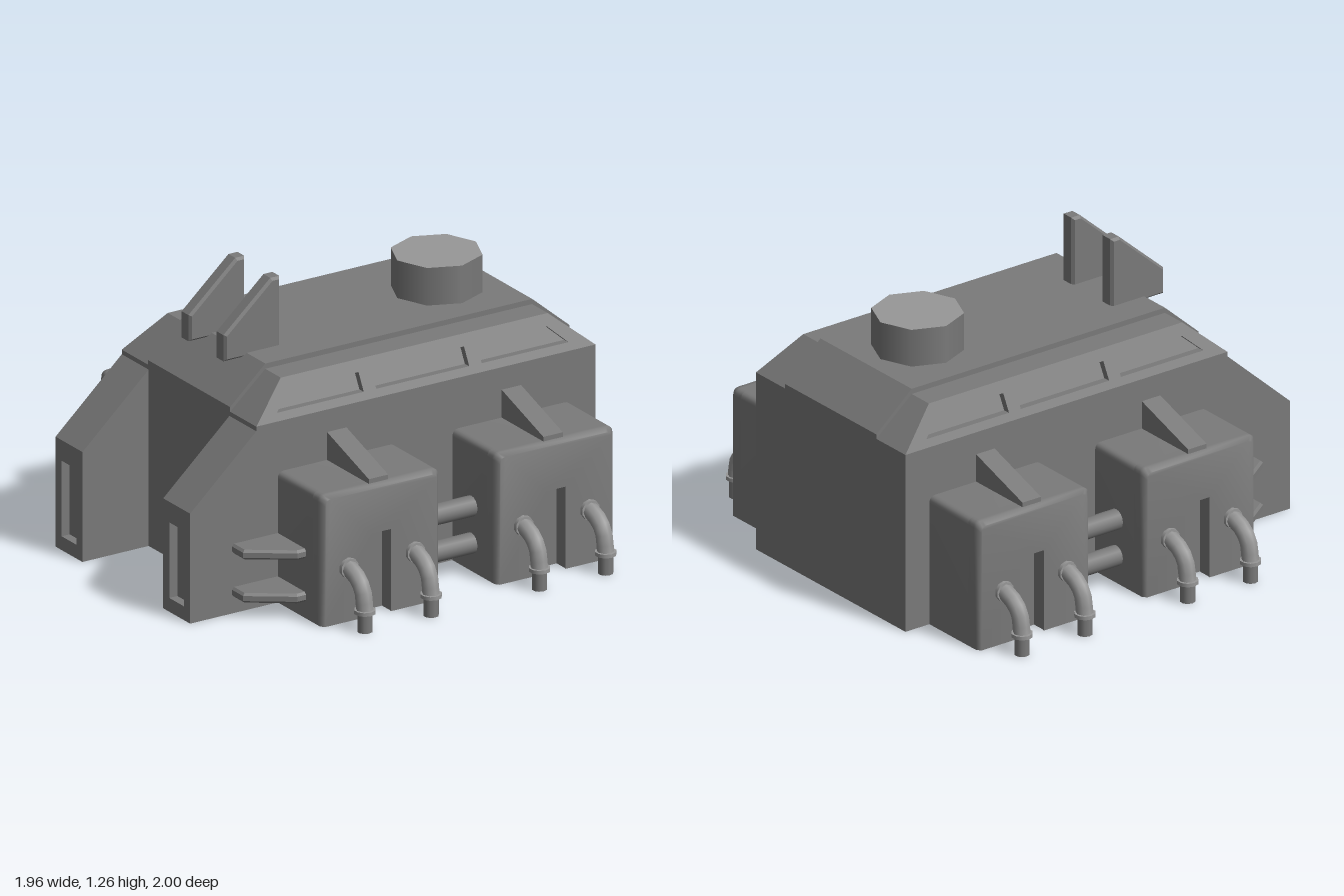
import * as THREE from 'three';
import { toCreasedNormals } from 'three/addons/utils/BufferGeometryUtils.js';

const dark = new THREE.MeshStandardMaterial({ color: 0x7a7a7a, side: THREE.DoubleSide });
const light = new THREE.MeshStandardMaterial({ color: 0x989898, side: THREE.DoubleSide });

function add(parent, name, geo, x = 0, y = 0, z = 0, material = dark) {
  const mesh = new THREE.Mesh(geo, material);
  mesh.name = name;
  mesh.position.set(x, y, z);
  parent.add(mesh);
}

const points = (pts) => pts.map(([x, y]) => new THREE.Vector2(x, y));
const shapeOf = (pts) => new THREE.Shape(points(pts));

function extrude(shape, depth, options = {}) {
  return new THREE.ExtrudeGeometry(shape, { depth, bevelEnabled: false, curveSegments: 4, ...options });
}

// Removes the triangles lying in the plane axis = value, leaving an open shell
function open(geo, axis, value) {
  const src = geo.index ? geo.toNonIndexed() : geo;
  const pos = src.attributes.position;
  const k = 'xyz'.indexOf(axis);
  const kept = [];
  for (let i = 0; i < pos.count; i += 3) {
    const flat = [0, 1, 2].every((j) => Math.abs(pos.getComponent(i + j, k) - value) < 1e-4);
    if (!flat) for (let j = 0; j < 3; j++) kept.push(pos.getX(i + j), pos.getY(i + j), pos.getZ(i + j));
  }
  const out = new THREE.BufferGeometry();
  out.setAttribute('position', new THREE.Float32BufferAttribute(kept, 3));
  out.computeVertexNormals();
  return out;
}

function quad(a, b, c, d) {
  const geo = new THREE.BufferGeometry();
  geo.setAttribute('position', new THREE.Float32BufferAttribute([a, b, c, a, c, d].flat(), 3));
  geo.computeVertexNormals();
  return geo;
}

// Rounded upper corners, square feet, optional slot in the lower edge
function blockShape(w, h, r, slotW, slotH) {
  const s = new THREE.Shape();
  s.moveTo(-w, 0);
  if (slotW) {
    s.lineTo(-slotW, 0); s.lineTo(-slotW, slotH); s.lineTo(slotW, slotH); s.lineTo(slotW, 0);
  }
  s.lineTo(w, 0);
  s.lineTo(w, h - r);
  s.quadraticCurveTo(w, h, w - r, h);
  s.lineTo(-w + r, h);
  s.quadraticCurveTo(-w, h, -w, h - r);
  s.lineTo(-w, 0);
  return s;
}

// Side block with a slot, a sloping fin and two bent pipes
function makeBlock() {
  const g = new THREE.Group();
  g.name = 'sideBlock';
  const W = 0.285, H = 0.57;
  const rear = open(open(extrude(blockShape(W, H, 0.03), 0.27), 'y', 0), 'z', 0.27);
  add(g, 'blockShell', toCreasedNormals(rear, 0.6), 0, 0, 0.49);

  // Front layer with softly rounded rim
  let front = extrude(blockShape(W, H, 0.03, 0.05, 0.37), 0.07, { steps: 4 });
  front = open(open(front, 'y', 0), 'z', 0);
  const p = front.attributes.position;
  for (let i = 0; i < p.count; i++) {
    if (p.getZ(i) > 0.069) p.setXY(i, p.getX(i) * 0.95, p.getY(i) * 0.97);
  }
  add(g, 'blockFace', toCreasedNormals(front, 1.0), 0, 0, 0.76);
  add(g, 'slotBack', new THREE.PlaneGeometry(0.1, 0.37), 0, 0.185, 0.76);

  const fin = extrude(shapeOf([[0.49, 0.55], [0.81, 0.55], [0.81, 0.59], [0.49, 0.695]]), 0.094);
  add(g, 'blockFin', fin.rotateY(-Math.PI / 2), 0.047);

  const bend = new THREE.CatmullRomCurve3(
    [[0.82, 0.238], [0.885, 0.222], [0.937, 0.175], [0.955, 0.085]].map(([z, y]) => new THREE.Vector3(0, y, z)));
  for (const x of [-0.16, 0.16]) {
    add(g, 'bentPipe', new THREE.TubeGeometry(bend, 6, 0.036, 8), x, 0, 0, light);
    add(g, 'pipeFlange', new THREE.CylinderGeometry(0.045, 0.045, 0.016, 10), x, 0.088, 0.955, light);
    add(g, 'pipeEnd', new THREE.CylinderGeometry(0.032, 0.032, 0.085, 10), x, 0.0425, 0.955);
    const collar = new THREE.CylinderGeometry(0.043, 0.043, 0.016, 10).rotateX(Math.PI / 2);
    add(g, 'pipeCollar', collar, x, 0.237, 0.838, light);
  }
  return g;
}

// Everything found on one long side
function makeSide() {
  const g = new THREE.Group();
  g.name = 'side';

  // Sloping roof edge with three windows recessed level into it
  const L = Math.hypot(0.08, 0.15);
  const slope = new THREE.Group();
  slope.name = 'roofEdge';
  slope.position.set(0, 0.79, 0.5);
  slope.rotation.x = -Math.atan2(0.08, 0.15);
  const outline = [[-0.66, 0], [0.98, 0], [0.8, L], [-0.49, L]];
  const frame = shapeOf(outline);
  const lo = 0.035, hi = 0.118;
  const windows = [
    [[-0.55, lo], [-0.13, lo], [-0.13, hi], [-0.47, hi]],
    [[-0.07, lo], [0.38, lo], [0.38, hi], [-0.07, hi]],
    [[0.44, lo], [0.86, lo], [0.78, hi], [0.44, hi]],
  ];
  for (const w of windows) frame.holes.push(new THREE.Path(points(w)));
  const level = new THREE.Matrix4().makeShear(0, 0, 0, 0, 0, -0.5);
  add(slope, 'windowFrame', extrude(frame, 0.03).translate(0, 0, -0.03).applyMatrix4(level));
  add(slope, 'windowBack', new THREE.ShapeGeometry(shapeOf(outline)), 0, 0, -0.029);
  g.add(slope);

  // Rear arm, open below, with a recessed slot in its end
  let arm = extrude(shapeOf([[-0.98, 0], [-0.66, 0], [-0.66, 0.77], [-0.98, 0.48]]), 0.2);
  for (const [a, v] of [['y', 0], ['x', -0.66], ['x', -0.98]]) arm = open(arm, a, v);
  add(g, 'rearArm', arm, 0, 0, 0.3);
  const end = shapeOf([[0.3, 0], [0.5, 0], [0.5, 0.48], [0.3, 0.48]]);
  end.holes.push(new THREE.Path(points([[0.345, 0.06], [0.455, 0.06], [0.455, 0.39], [0.345, 0.39]])));
  add(g, 'armEnd', extrude(end, 0.04).rotateY(-Math.PI / 2), -0.94);
  add(g, 'armSlotBack', new THREE.PlaneGeometry(0.12, 0.34).rotateY(-Math.PI / 2), -0.941, 0.225, 0.4);

  // Blocks and the tubes joining them
  for (const x of [-0.271, 0.573]) {
    const block = makeBlock();
    block.position.x = x;
    g.add(block);
  }
  for (const y of [0.285, 0.123]) {
    const tube = new THREE.CylinderGeometry(0.044, 0.044, 0.29, 16, 1, true).rotateZ(Math.PI / 2);
    add(g, 'joiningTube', tube, 0.15, y, 0.642);
  }

  // Chamfered shelves behind the rear block
  const shelf = shapeOf([[-0.54, 0.49], [-0.54, 0.7], [-0.595, 0.7], [-0.768, 0.578], [-0.768, 0.49]]);
  const bevel = { bevelEnabled: true, bevelSize: 0.01, bevelThickness: 0.01, bevelSegments: 1 };
  const shelfGeo = extrude(shelf, 0.022, bevel).rotateX(Math.PI / 2);
  for (const y of [0.293, 0.104]) add(g, 'sideShelf', shelfGeo, 0, y);
  return g;
}

export function createModel() {
  const model = new THREE.Group();
  model.name = 'machine';

  // Hull, open below
  const hull = new THREE.BoxGeometry(1.64, 0.79, 1);
  add(model, 'hull', open(open(hull, 'y', -0.395), 'y', 0.395), 0.16, 0.395, 0);

  // Roof ends, deck and raised centre strip
  add(model, 'roofEndLeft', quad([0.98, 0.79, 0.5], [0.98, 0.79, -0.5], [0.8, 0.94, -0.42], [0.8, 0.94, 0.42]));
  add(model, 'roofEndRight', quad([-0.66, 0.79, -0.5], [-0.66, 0.79, 0.5], [-0.49, 0.94, 0.42], [-0.49, 0.94, -0.42]));
  add(model, 'roofDeck', quad([-0.49, 0.94, 0.42], [0.8, 0.94, 0.42], [0.8, 0.94, -0.42], [-0.49, 0.94, -0.42]));
  const strip = extrude(shapeOf([[-0.66, 0.79], [0.98, 0.79], [0.98, 0.81], [0.8, 0.963], [-0.49, 0.963], [-0.66, 0.81]]), 0.61);
  add(model, 'roofStrip', open(strip, 'y', 0.79), 0, 0, -0.305);

  // Eight-sided chimney with a paler lid
  add(model, 'chimney', new THREE.CylinderGeometry(0.19, 0.19, 0.175, 8, 1, true), 0.537, 1.0395, 0);
  add(model, 'chimneyLid', new THREE.CircleGeometry(0.19, 8).rotateX(-Math.PI / 2), 0.537, 1.127, 0, light);

  // Twin roof fins
  const fin = shapeOf([[-0.585, 0.955], [-0.335, 0.955], [-0.335, 1.25], [-0.365, 1.25], [-0.585, 1.055]]);
  const finGeo = extrude(fin, 0.05, { bevelEnabled: true, bevelSize: 0.01, bevelThickness: 0.012, bevelSegments: 1 });
  for (const z of [-0.13, 0.13]) add(model, 'roofFin', finGeo, 0, 0, z - 0.025);

  // Two mirrored sides
  for (const s of [1, -1]) {
    const side = makeSide();
    side.scale.z = s;
    model.add(side);
  }
  return model;
}
